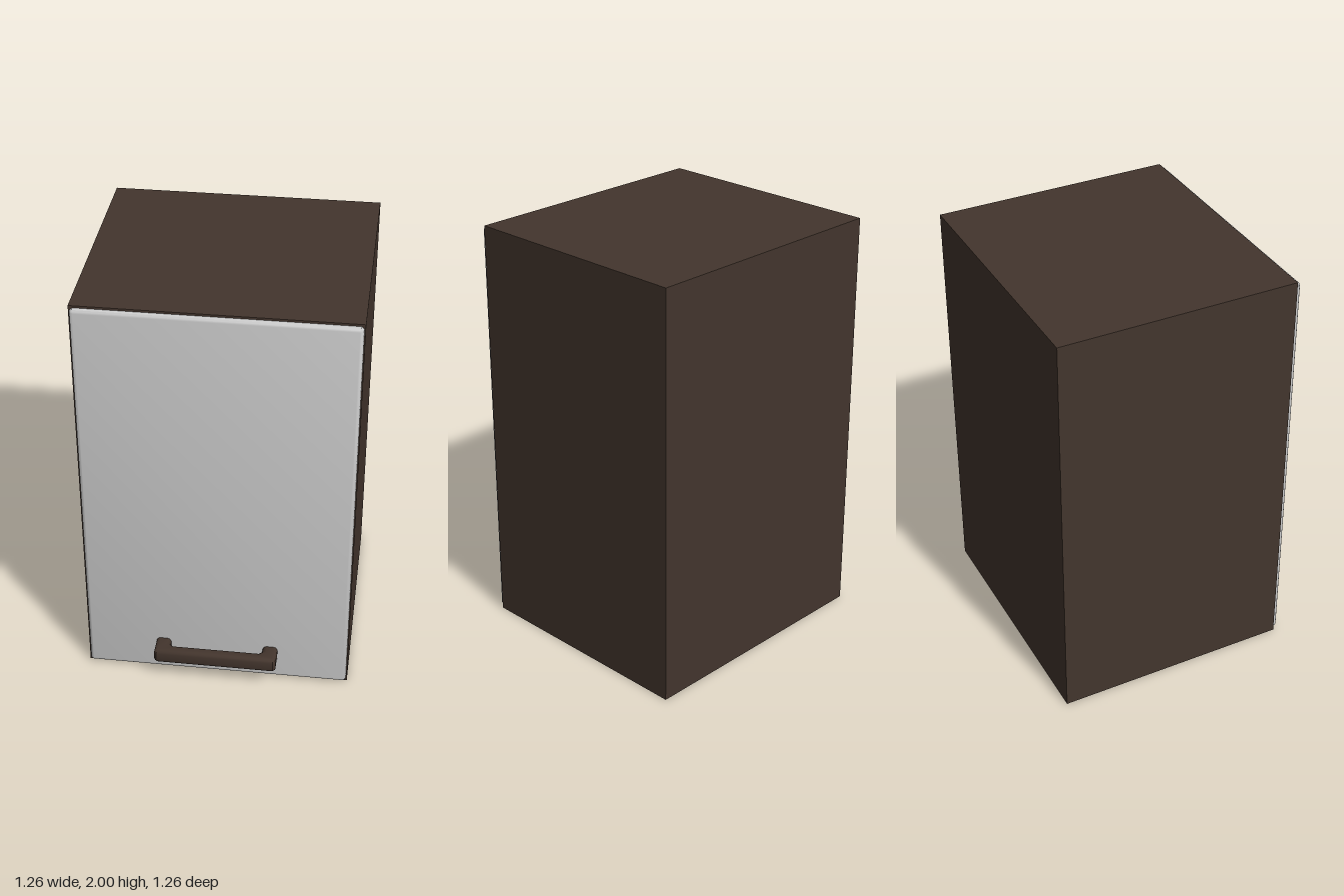
import * as THREE from 'three';
import { toCreasedNormals } from 'three/addons/utils/BufferGeometryUtils.js';

// Outline from a list of points
const outline = (points) => new THREE.Shape(points.map(([x, y]) => new THREE.Vector2(x, y)));

// Extrusion with rounded edges; the outline given is the outermost one
function bevelled(points, depth, bevel, segments) {
  const geometry = new THREE.ExtrudeGeometry(outline(points), {
    depth: depth - 2 * bevel,
    bevelEnabled: true,
    bevelSize: bevel,
    bevelThickness: bevel,
    bevelOffset: -bevel,
    bevelSegments: segments,
  });
  geometry.translate(0, 0, bevel);
  return toCreasedNormals(geometry, 0.7);
}

export function createModel() {
  const model = new THREE.Group();
  model.name = 'wallCabinet';

  const darkWood = new THREE.MeshStandardMaterial({ color: 0x43352d });
  darkWood.name = 'dark wood';
  const paleGrey = new THREE.MeshStandardMaterial({ color: 0xcccccc });
  paleGrey.name = 'pale grey';

  const add = (name, geometry, material, x, y, z) => {
    const mesh = new THREE.Mesh(geometry, material);
    mesh.name = name;
    mesh.position.set(x, y, z);
    model.add(mesh);
  };

  // Carcass
  add('carcass', new THREE.BoxGeometry(1.264, 2, 1.138), darkWood, 0, 1, -0.062);

  // Door slab with softened edges, its back set into the carcass
  const w = 0.626, h = 0.99, c = 0.012;
  const doorPoints = [
    [-w + c, -h], [w - c, -h], [w, -h + c], [w, h - c],
    [w - c, h], [-w + c, h], [-w, h - c], [-w, -h + c],
  ];
  add('door', bevelled(doorPoints, 0.05, 0.017, 3), paleGrey, 0, 1, 0.48);

  // Bow handle: half of a U seen from above, mirrored, then laid flat
  const half = [[0.222, 0.505], [0.293, 0.505], [0.293, 0.615], [0.281, 0.627]];
  const inner = [[0.207, 0.573], [0.222, 0.559]];
  const right = [...inner, ...half];
  const left = right.map(([x, z]) => [-x, z]).reverse();
  const handle = bevelled([...right, ...left], 0.078, 0.02, 3);
  handle.rotateX(Math.PI / 2);
  add('handle', handle, darkWood, 0, 0.194, 0);

  return model;
}
